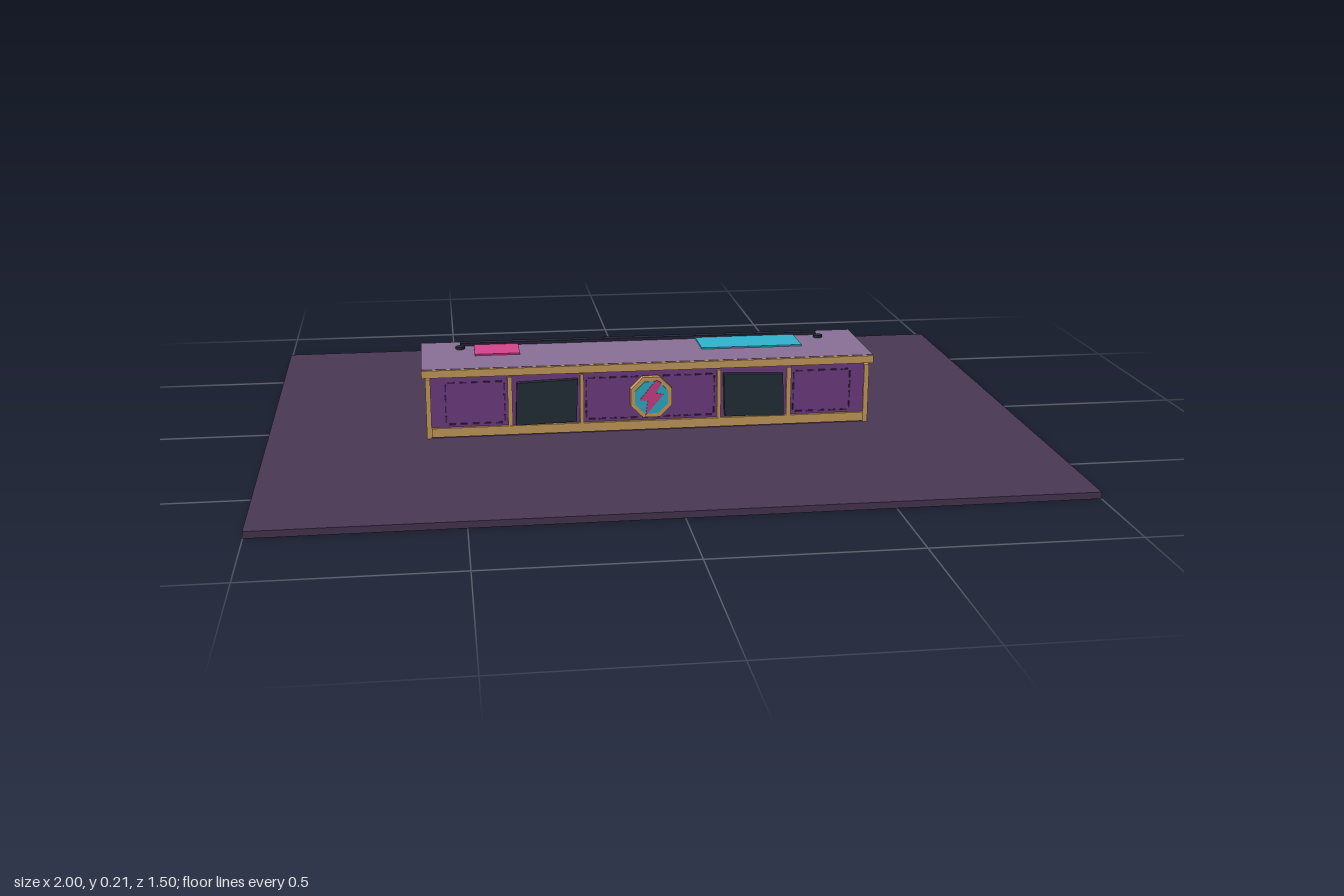
import * as THREE from 'three';

const paint = (name, color) => {
  const m = new THREE.MeshStandardMaterial({ color });
  m.name = name;
  return m;
};

export function createModel() {
  const model = new THREE.Group();
  model.name = 'counterOnFloor';

  const floorPlum = paint('floorPlum', 0x4a3854);
  const purple = paint('panelPurple', 0x753f88);
  const lavender = paint('topLavender', 0x8a6f98);
  const gold = paint('trimGold', 0xcfa35f);
  const slate = paint('slate', 0x25313a);
  const ink = paint('ink', 0x252938);
  const cyan = paint('cyan', 0x31b5cf);
  const pink = paint('pink', 0xd5448e);
  const thread = paint('thread', 0x41234f);

  const add = (name, geometry, material, parent = model) => {
    const mesh = new THREE.Mesh(geometry, material);
    mesh.name = name;
    parent.add(mesh);
    return mesh;
  };
  // Box given by its lower and upper limits on each axis
  const block = (name, mat, x0, x1, y0, y1, z0, z1, parent) => {
    const mesh = add(name, new THREE.BoxGeometry(x1 - x0, y1 - y0, z1 - z0), mat, parent);
    mesh.position.set((x0 + x1) / 2, (y0 + y1) / 2, (z0 + z1) / 2);
    return mesh;
  };
  // Flat outline in x and y, pushed forward from z
  const plate = (name, mat, points, z, depth, parent) => {
    const shape = new THREE.Shape(points.map(([x, y]) => new THREE.Vector2(x, y)));
    const mesh = add(name, new THREE.ExtrudeGeometry(shape, { depth, bevelEnabled: false }), mat, parent);
    mesh.position.z = z;
    return mesh;
  };

  // Floor and counter body
  block('floor', floorPlum, -1, 1, 0, 0.017, -0.75, 0.75);
  block('counterBody', purple, -0.575, 0.575, 0.017, 0.184, -0.088, 0.134);
  block('backPanel', slate, -0.53, 0.53, 0.024, 0.1, -0.108, -0.088);

  // Countertop with front edge
  block('countertop', lavender, -0.597, 0.597, 0.185, 0.204, -0.132, 0.14);
  block('frontEdge', gold, -0.597, 0.597, 0.183, 0.203, 0.14, 0.147);
  block('baseRail', gold, -0.575, 0.575, 0.021, 0.045, 0.134, 0.142);

  // Mirrored ends, dividers and dark insets
  for (const s of [-1, 1]) {
    const side = (name, mat, a, b, ...rest) =>
      block(name, mat, Math.min(s * a, s * b), Math.max(s * a, s * b), ...rest);
    side('endPanel', gold, 0.575, 0.588, 0.017, 0.177, -0.092, 0.138);
    side('divider', gold, 0.177, 0.187, 0.045, 0.177, 0.134, 0.141);
    side('divider', gold, 0.364, 0.376, 0.045, 0.177, 0.134, 0.141);
    const inset = [[0.197, 0.052], [0.356, 0.047], [0.352, 0.162], [0.193, 0.167]];
    plate('darkInset', slate, inset.map(([x, y]) => [s * x, y]), 0.134, 0.015);

    // Stud on the countertop
    const stud = add('stud', new THREE.CylinderGeometry(0.013, 0.013, 0.008, 8), ink);
    stud.position.set(s * 0.492, 0.207, -0.06);
  }

  // Dashed stitching around the purple panels
  const stitching = new THREE.Group();
  stitching.name = 'stitching';
  model.add(stitching);
  const dashes = (x0, y0, x1, y1) => {
    const length = Math.hypot(x1 - x0, y1 - y0);
    const count = Math.round(length / 0.028);
    for (let i = 0; i < count; i++) {
      const t = (i + 0.5) / count;
      const x = x0 + (x1 - x0) * t, y = y0 + (y1 - y0) * t;
      const w = x0 === x1 ? 0.002 : 0.009, h = x0 === x1 ? 0.009 : 0.002;
      block('stitch', thread, x - w, x + w, y - h, y + h, 0.134, 0.137, stitching);
    }
  };
  for (const [a, b] of [[-0.537, -0.384], [-0.17, 0.17], [0.384, 0.537]]) {
    dashes(a, 0.053, b, 0.053);
    dashes(a, 0.165, b, 0.165);
    dashes(a, 0.053, a, 0.165);
    dashes(b, 0.053, b, 0.165);
  }

  // Octagonal front ornament, built around its own centre
  const ornament = new THREE.Group();
  ornament.name = 'ornament';
  ornament.position.set(0, 0.112, 0);
  model.add(ornament);
  const octagon = (r) => Array.from({ length: 8 }, (_, i) => {
    const a = (i + 0.5) * Math.PI / 4;
    return [r * Math.cos(a), r * Math.sin(a)];
  });
  plate('ornamentRim', gold, octagon(0.059), 0.134, 0.018, ornament);
  plate('ornamentFace', cyan, octagon(0.047), 0.152, 0.003, ornament);
  plate('ornamentZigzag', pink, [
    [0.012, 0.048], [-0.032, -0.006], [-0.01, -0.008], [-0.016, -0.048],
    [0.032, 0.008], [0.012, 0.012], [0.026, 0.04],
  ], 0.155, 0.002, ornament);

  // Items lying on the countertop
  block('rearStrip', ink, -0.492, 0.492, 0.204, 0.212, -0.107, -0.086);
  block('pinkMat', pink, -0.455, -0.335, 0.204, 0.208, -0.082, 0.017);
  block('cyanMat', cyan, 0.153, 0.427, 0.204, 0.208, -0.082, 0.028);

  return model;
}
